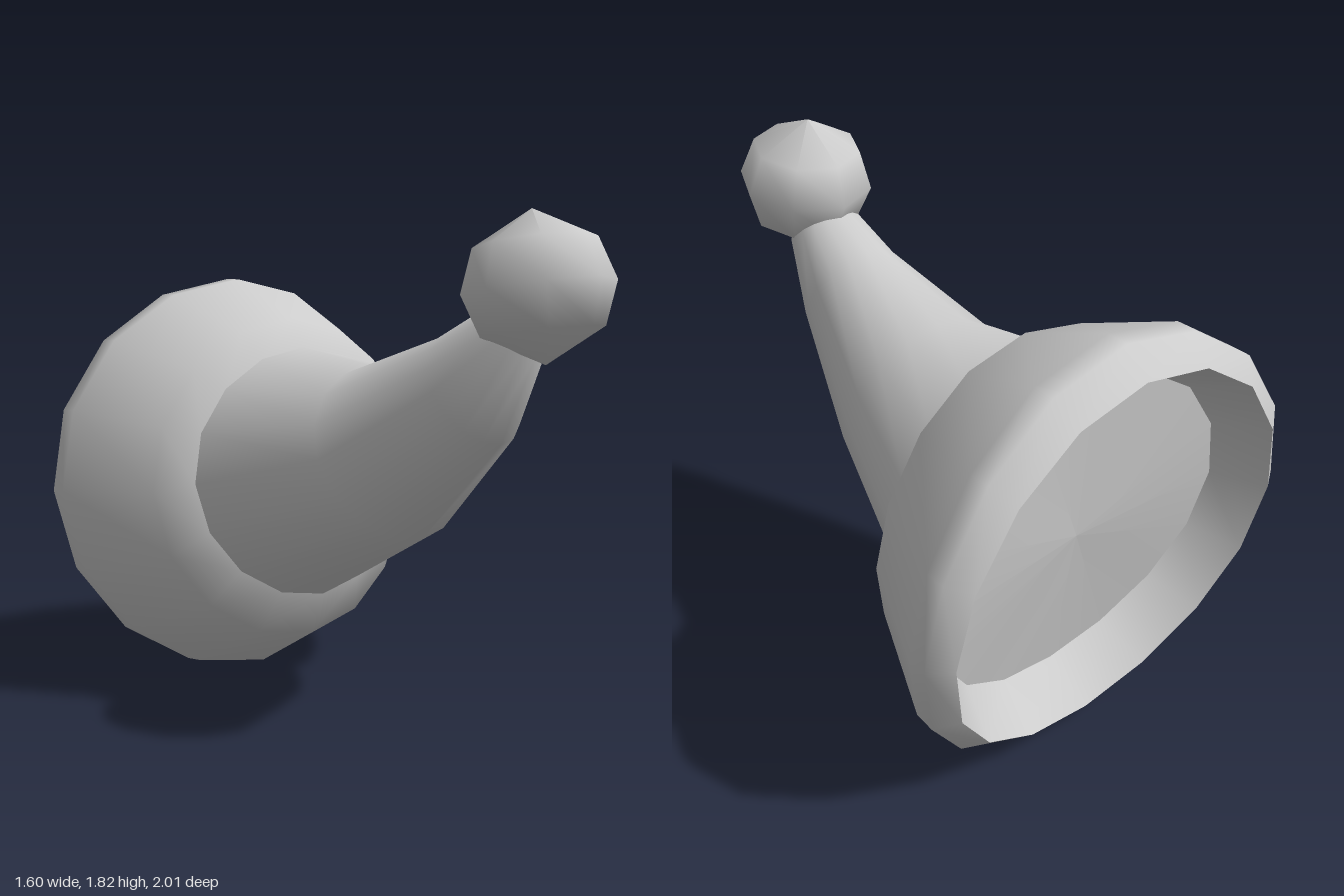
import * as THREE from 'three';

const SIDES = 16;

// Ring [half width, zTop, yTop, zSide, zBottom, yBottom]; zSide bends the ring out of its plane
function ringPoint([rx, zt, yt, zs, zb, yb], j) {
  const a = (j / SIDES) * Math.PI * 2;
  const s = Math.sin(a);
  return [
    rx * Math.cos(a),
    (yt + yb) / 2 + s * (yt - yb) / 2,
    zs + s * (zt - zb) / 2 + s * s * ((zt + zb) / 2 - zs),
  ];
}

// Smooth skin through a list of rings
function loft(name, rings, material) {
  const pos = [], index = [];
  rings.forEach((ring, i) => {
    for (let j = 0; j < SIDES; j++) {
      pos.push(...ringPoint(ring, j));
      if (i === rings.length - 1) continue;
      const a = i * SIDES + j, b = i * SIDES + (j + 1) % SIDES;
      index.push(a, b, b + SIDES, a, b + SIDES, a + SIDES);
    }
  });
  const geo = new THREE.BufferGeometry();
  geo.setAttribute('position', new THREE.Float32BufferAttribute(pos, 3));
  geo.setIndex(index);
  geo.computeVertexNormals();
  const mesh = new THREE.Mesh(geo, material);
  mesh.name = name;
  return mesh;
}

export function createModel() {
  const group = new THREE.Group();
  group.name = 'hat';
  const mat = new THREE.MeshStandardMaterial({ color: 0xcccccc, side: THREE.DoubleSide });

  const floorCentre = [0, -0.77, 0.8, -0.77, -0.77, 0.8];
  const floorEdge = [0.63, -0.8, 1.41, -0.81, -0.69, 0.19];
  const rim = [0.72, -1, 1.51, -1, -0.88, 0.09];
  const brimFront = [0.51, -0.42, 1.34, -0.43, -0.31, 0.38];

  // Hollow underside of the brim
  group.add(loft('innerFloor', [floorCentre, floorEdge], mat));
  group.add(loft('innerWall', [floorEdge, rim], mat));

  // Thick rounded brim
  group.add(loft('brim', [
    rim,
    [0.8, -0.91, 1.6, -0.95, -0.78, 0.01],
    [0.8, -0.83, 1.6, -0.88, -0.7, 0.02],
    [0.64, -0.48, 1.45, -0.51, -0.38, 0.21],
    brimFront,
  ], mat));

  // Bent, tapering cone ending inside the bobble
  group.add(loft('cone', [
    brimFront,
    [0.34, -0.04, 1.29, 0.06, 0.23, 0.68],
    [0.2, 0.37, 1.42, 0.47, 0.6, 1.06],
    [0.14, 0.53, 1.5, 0.63, 0.74, 1.36],
    [0, 0.7, 1.5, 0.7, 0.7, 1.5],
  ], mat));

  // Eight-sided bobble, slightly tilted
  const profile = [[0, -0.248], [0.2, -0.142], [0.25, 0], [0.2, 0.142], [0, 0.248]]
    .map(([x, y]) => new THREE.Vector2(x, y));
  const bobble = new THREE.Mesh(new THREE.LatheGeometry(profile, 8), mat);
  bobble.name = 'bobble';
  bobble.position.set(-0.005, 1.58, 0.752);
  bobble.rotation.x = -0.14;
  group.add(bobble);

  return group;
}
